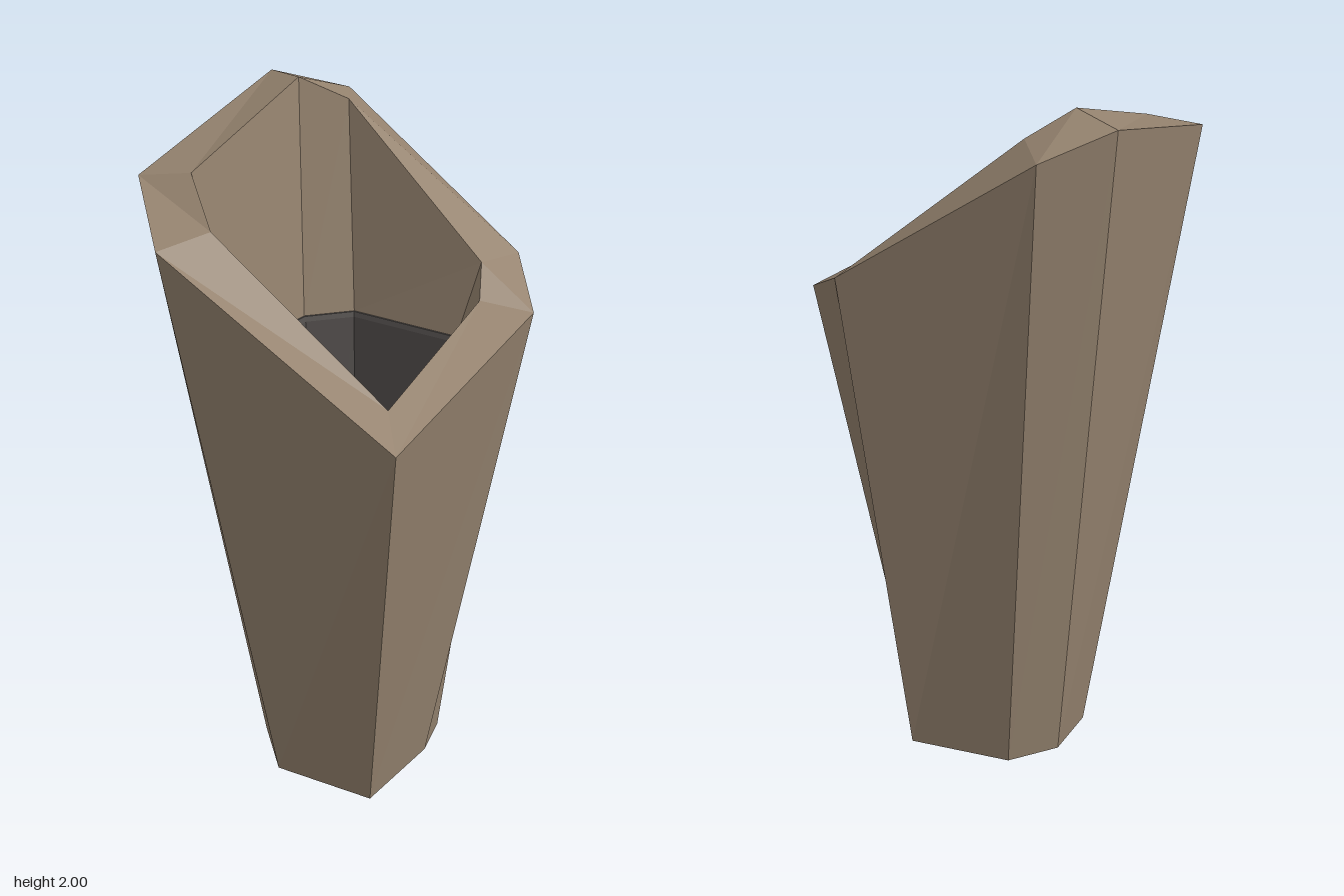
import * as THREE from 'three';

// Seven corners per ring, clockwise from above, starting at the back right: [x, y, z]
const at = (y, pts) => pts.map(([x, z]) => [x, y, z]);

const base = at(0, [[-0.09, -0.26], [0.215, -0.26], [0.255, -0.12], [0.255, 0.19],
  [-0.06, 0.205], [-0.21, 0.05], [-0.2, -0.14]]);
const outerRim = [[-0.25, 1.91, -0.47], [0.325, 1.525, -0.47], [0.465, 1.43, -0.315],
  [0.465, 1.29, 0.41], [-0.255, 1.725, 0.47], [-0.465, 1.83, 0.26], [-0.415, 1.975, -0.315]];
const innerRim = [[-0.165, 1.93, -0.335], [0.29, 1.54, -0.32], [0.33, 1.46, -0.245],
  [0.365, 1.35, 0.29], [-0.17, 1.755, 0.335], [-0.315, 1.855, 0.22], [-0.275, 2.0, -0.245]];
const linerTop = at(1.31, [[-0.105, -0.275], [0.235, -0.285], [0.31, -0.165], [0.35, 0.27],
  [-0.1, 0.27], [-0.243, 0.147], [-0.207, -0.165]]);
const floor = at(0.1, [[-0.065, -0.23], [0.205, -0.237], [0.235, -0.137], [0.245, 0.172],
  [-0.033, 0.182], [-0.158, 0.04], [-0.16, -0.125]]);

// Moves a ring towards its centre by a factor and shifts it vertically
function shrink(ring, factor, dy = 0) {
  const cx = ring.reduce((s, p) => s + p[0], 0) / ring.length;
  const cz = ring.reduce((s, p) => s + p[2], 0) / ring.length;
  return ring.map(([x, y, z]) => [cx + (x - cx) * factor, y + dy, cz + (z - cz) * factor]);
}

// Faceted skin through a list of rings, with optional flat caps
function loft(rings, { capStart = false, capEnd = false } = {}) {
  const pos = [];
  const tri = (a, b, c) => pos.push(...a, ...b, ...c);
  for (let k = 0; k < rings.length - 1; k++) {
    const lo = rings[k], up = rings[k + 1];
    for (let i = 0; i < lo.length; i++) {
      const j = (i + 1) % lo.length;
      tri(lo[j], lo[i], up[i]);
      tri(lo[j], up[i], up[j]);
    }
  }
  const first = rings[0], last = rings[rings.length - 1];
  for (let i = 1; i < first.length - 1; i++) {
    if (capStart) tri(first[0], first[i], first[i + 1]);
    if (capEnd) tri(last[0], last[i + 1], last[i]);
  }
  const geo = new THREE.BufferGeometry();
  geo.setAttribute('position', new THREE.Float32BufferAttribute(pos, 3));
  geo.computeVertexNormals();
  return geo;
}

export function createModel() {
  const clay = new THREE.MeshStandardMaterial({ color: 0x95836f, flatShading: true });
  clay.name = 'brown clay';
  const dark = new THREE.MeshStandardMaterial({ color: 0x524e4c, flatShading: true });
  dark.name = 'dark liner';

  const group = new THREE.Group();
  group.name = 'planter';
  const add = (name, geo, mat) => {
    const mesh = new THREE.Mesh(geo, mat);
    mesh.name = name;
    group.add(mesh);
  };

  // Tapered shell: underside, outer walls, slanted rim and upper inner walls
  add('shell', loft([base, outerRim, innerRim, linerTop], { capStart: true }), clay);

  // Liner: thin stepped lip, deep walls and floor
  const lip = shrink(linerTop, 0.98);
  const step = shrink(linerTop, 0.965, -0.015);
  add('liner', loft([linerTop, lip, step, floor], { capEnd: true }), dark);

  return group;
}
